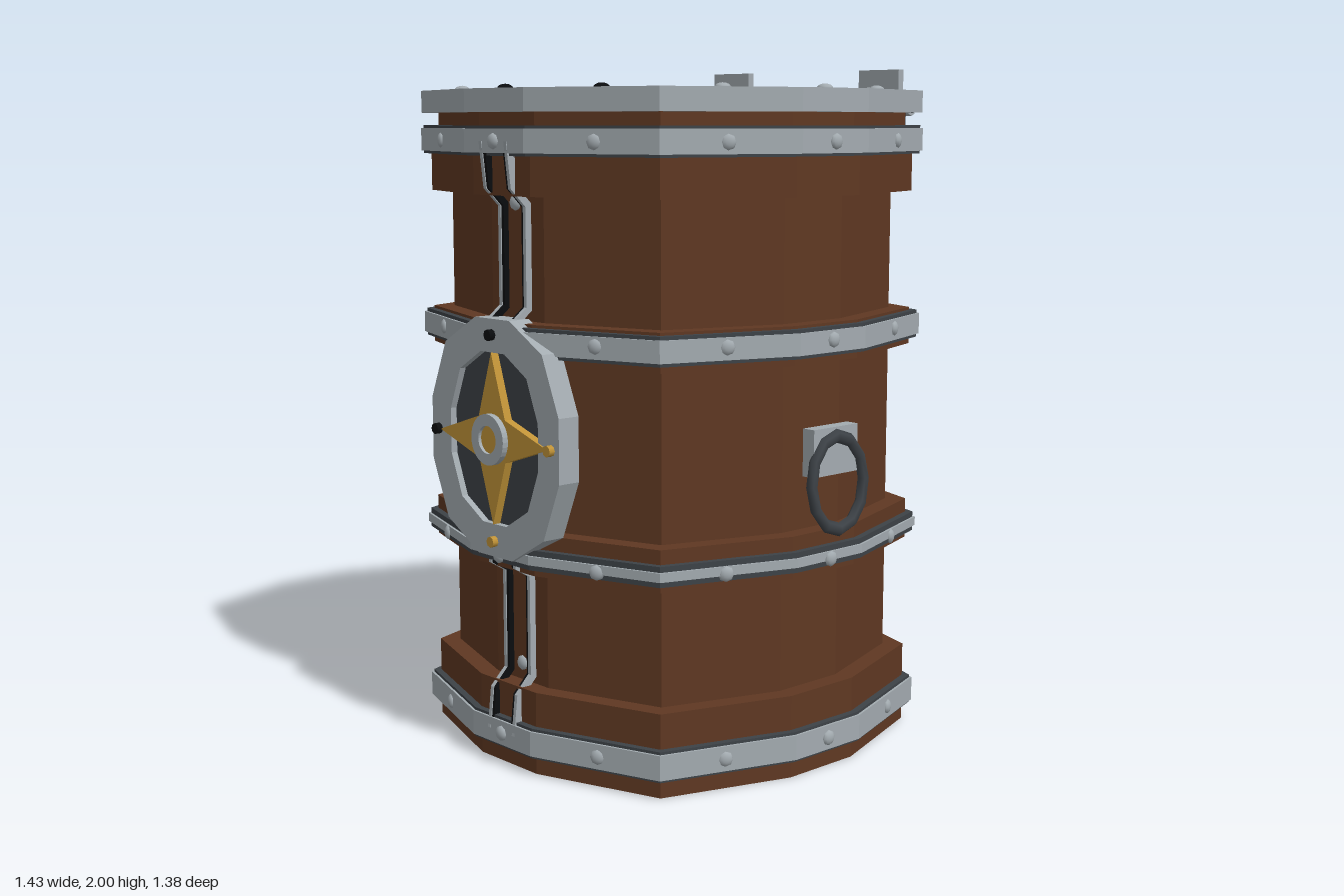
import * as THREE from 'three';

const paint = (name, color) => {
  const m = new THREE.MeshStandardMaterial({ color });
  m.name = name;
  return m;
};

export function createModel() {
  const wood = paint('wood', 0x5f3822);
  const iron = paint('iron', 0xa3abb0);
  const dark = paint('darkIron', 0x3d4247);
  const black = paint('blackIron', 0x0b0d0f);
  const gold = paint('gold', 0xc29438);

  const root = new THREE.Group();
  root.name = 'barrel';
  const barrel = new THREE.Group();
  barrel.name = 'barrelBody';
  barrel.position.z = -0.015;
  root.add(barrel);

  const add = (name, geo, mat, x = 0, y = 0, z = 0, parent = barrel) => {
    const m = new THREE.Mesh(geo, mat);
    m.name = name;
    m.position.set(x, y, z);
    parent.add(m);
    return m;
  };

  // Twelve-sided outline; a is the half flat, b the corner, both relative to the half width
  const outline = (rx, ry = rx, a = 0.2, b = 0.797) => {
    const q = [[1, a], [b, b], [a, 1]];
    const pts = [
      ...q,
      ...[...q].reverse().map(([x, y]) => [-x, y]),
      ...q.map(([x, y]) => [-x, -y]),
      ...[...q].reverse().map(([x, y]) => [x, -y]),
    ];
    return pts.map(([x, y]) => new THREE.Vector2(x * rx, y * ry));
  };
  const extrude = (pts, depth, hole) => {
    const s = new THREE.Shape(pts);
    if (hole) s.holes.push(new THREE.Path(hole));
    return new THREE.ExtrudeGeometry(s, { depth, bevelEnabled: false });
  };
  const layer = (name, mat, r, y0, y1, inner) =>
    add(name, extrude(outline(r), y1 - y0, inner && outline(inner)).rotateX(-Math.PI / 2), mat, 0, y0);

  // Staves, with thicker courses beneath the hoops
  layer('base', wood, 0.64, 0, 0.24);
  layer('lowerStaves', wood, 0.585, 0.24, 0.58);
  layer('lowerCourse', wood, 0.64, 0.58, 0.7);
  layer('middleStaves', wood, 0.585, 0.7, 1.18);
  layer('upperCourse', wood, 0.64, 1.18, 1.29);
  layer('upperStaves', wood, 0.585, 1.29, 1.64);
  layer('topCourse', wood, 0.64, 1.64, 1.83);
  layer('neck', wood, 0.62, 1.83, 1.87, 0.53);

  // Recessed lid with its bung and corner brackets
  layer('lidPanel', wood, 0.54, 1.82, 1.855);
  add('bung', new THREE.CylinderGeometry(0.125, 0.125, 0.06, 8).rotateY(Math.PI / 8).toNonIndexed(), wood, -0.295, 1.885, 0)
    .geometry.computeVertexNormals();
  for (const sx of [-1, 1]) for (const sz of [-1, 1]) {
    add('lidBracket', new THREE.BoxGeometry(0.15, 0.03, 0.02), dark, sx * 0.39, 1.865, sz * 0.4)
      .rotation.y = sx * sz * Math.PI / 4;
  }
  layer('rim', iron, 0.665, 1.87, 1.935, 0.52);

  // Rivets: domes flattened along their own y axis
  const dome = new THREE.SphereGeometry(0.023, 8, 4, 0, Math.PI * 2, 0, Math.PI / 2).scale(1, 0.6, 1);
  const sideDome = dome.clone().rotateX(Math.PI / 2);
  for (let i = 0; i < 12; i++) {
    const a = i * Math.PI / 6;
    const mat = [0, 1, 8].includes(i) ? black : iron;
    add('rimRivet', dome, mat, 0.622 * Math.sin(a), 1.933, 0.622 * Math.cos(a));
  }

  // Iron hoops over dark liners, one rivet on each side
  for (const [y0, y1, trim, ry] of [
    [0.06, 0.132, 0.008, 0.095],
    [0.617, 0.643, 0.016, 0.622],
    [1.21, 1.272, 0.01, 1.245],
    [1.758, 1.825, 0.008, 1.79],
  ]) {
    layer('hoopLiner', dark, 0.66, y0 - trim, y1 + trim, 0.6);
    layer('hoop', iron, 0.667, y0, y1, 0.6);
    for (let i = 0; i < 12; i++) {
      const a = i * Math.PI / 6;
      const r = i % 3 ? 0.684 : 0.666;
      add('hoopRivet', sideDome, iron, r * Math.sin(a), ry, r * Math.cos(a)).rotation.y = a;
    }
  }

  // Paired rails following the stave profile, front and back
  const path = [
    [0.668, 0.1], [0.655, 0.22], [0.605, 0.27], [0.605, 0.56], [0.655, 0.59],
    [0.655, 0.69], [0.605, 0.73], [0.605, 1.15], [0.655, 1.19], [0.655, 1.29],
    [0.605, 1.33], [0.605, 1.61], [0.655, 1.66], [0.67, 1.79],
  ];
  const rail = (w, inset) => extrude([
    ...path.map(([r, y]) => new THREE.Vector2(r - inset, y)),
    ...[...path].reverse().map(([r, y]) => new THREE.Vector2(r - 0.03, y)),
  ], w).translate(0, 0, -w / 2).rotateY(-Math.PI / 2);
  const railGeo = rail(0.012, 0), railShade = rail(0.01, 0.003);
  for (const back of [false, true]) {
    const g = new THREE.Group();
    g.name = back ? 'backRails' : 'frontRails';
    g.rotation.y = back ? Math.PI : 0;
    barrel.add(g);
    for (const s of [-1, 1]) {
      add('rail', railGeo, iron, s * 0.056, 0, 0, g);
      add('railInnerEdge', railShade, black, s * 0.045, 0, 0, g);
    }
    for (const y of back ? [0.29, 0.95, 1.62] : [0.29, 1.62])
      add('railRivet', sideDome, iron, 0, y, y > 1.6 ? 0.59 : 0.583, g);
  }

  // Front medallion with a four-pointed star
  const medal = new THREE.Group();
  medal.name = 'medallion';
  medal.position.set(0, 0.96, 0);
  root.add(medal);
  const disc = (rx, ry) => outline(rx, ry, 0.268, 0.76);
  add('medallionRing', extrude(disc(0.29, 0.34), 0.07, disc(0.2, 0.245)), iron, 0, 0, 0.595, medal);
  add('medallionInset', extrude(disc(0.205, 0.25), 0.055), dark, 0, 0, 0.59, medal);
  const star = [];
  for (let i = 0; i < 8; i++) {
    const a = i * Math.PI / 4;
    const r = i % 2 ? 0.085 : 0.245;
    star.push(new THREE.Vector2(r * Math.cos(a), r * Math.sin(a)));
  }
  add('star', extrude(star, 0.025), gold, 0, 0, 0.645, medal);
  const circle = (r) => new THREE.Path().absarc(0, 0, r, 0, Math.PI * 2).getPoints(16).slice(0, -1);
  add('hubRing', extrude(circle(0.073), 0.03, circle(0.04)), iron, 0, 0, 0.658, medal);
  add('hubCentre', extrude(circle(0.041), 0.02), gold, 0, 0, 0.658, medal);
  const stud = new THREE.CylinderGeometry(0.016, 0.016, 0.02, 8).rotateX(Math.PI / 2);
  for (const [x, y, mat] of [[0, 0.295, black], [-0.257, 0, black], [0.257, 0, gold], [0, -0.295, gold]])
    add('medallionStud', stud, mat, x, y, 0.673, medal);

  // Ring handles on the two sides
  for (const s of [-1, 1]) {
    const g = new THREE.Group();
    g.name = s > 0 ? 'leftHandle' : 'rightHandle';
    g.rotation.y = s > 0 ? 0 : Math.PI;
    g.position.z = -0.01;
    root.add(g);
    add('handlePlate', new THREE.BoxGeometry(0.042, 0.135, 0.18), iron, 0.664, 0.935, 0, g);
    const ring = new THREE.TorusGeometry(0.107, 0.016, 6, 12).scale(1, 1.24, 1).rotateY(Math.PI / 2);
    add('handleRing', ring, dark, 0.694, 0.845, 0, g).rotation.z = 0.05;
  }

  // Hinges at the back of the rim
  for (const s of [-1, 1]) {
    add('hingeLeaf', new THREE.BoxGeometry(0.16, 0.13, 0.022), iron, s * 0.32, 1.935, -0.598, root);
    add('hingeLowerLeaf', new THREE.BoxGeometry(0.15, 0.12, 0.012), dark, s * 0.335, 1.82, -0.606, root);
    for (let i = 0; i < 6; i++) {
      const knuckle = new THREE.CylinderGeometry(0.019, 0.019, 0.02, 8).rotateZ(Math.PI / 2);
      add('hingeKnuckle', knuckle, s < 0 ? black : iron, s * (0.28 + i * 0.026), 1.88, -0.627, root);
    }
    add('hingePin', new THREE.CylinderGeometry(0.011, 0.011, 0.16, 8).rotateZ(Math.PI / 2), black, s * 0.345, 1.88, -0.627, root);
  }
  return root;
}
